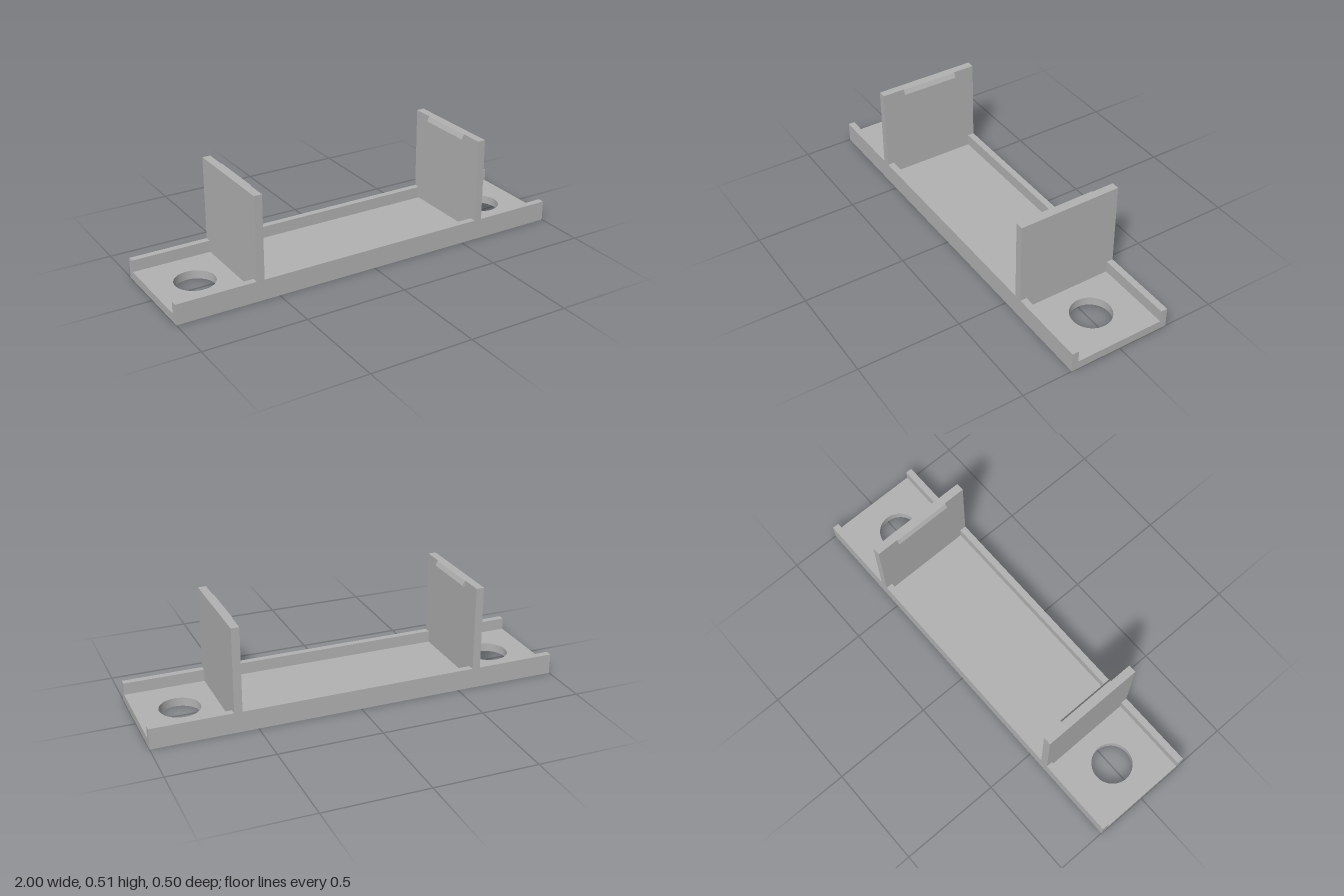
import * as THREE from 'three';

const HALF_DEPTH = 0.2525, INNER = 0.22, FLOOR = 0.042, RIM = 0.1, TOP = 0.51;

// Outline from a list of [x, y] corners
function outline(points) {
  return new THREE.Shape(points.map(([x, y]) => new THREE.Vector2(x, y)));
}

function extrude(shape, depth) {
  return new THREE.ExtrudeGeometry(shape, { depth, bevelEnabled: false, curveSegments: 32 });
}

export function createModel() {
  const group = new THREE.Group();
  const grey = new THREE.MeshStandardMaterial({ color: 0xb2b2b2 });
  grey.name = 'grey';

  const add = (name, geometry) => {
    const mesh = new THREE.Mesh(geometry, grey);
    mesh.name = name;
    group.add(mesh);
    return mesh;
  };

  // Floor plate with a screw hole near each end
  const plate = outline([[-1, -HALF_DEPTH], [1, -HALF_DEPTH], [1, HALF_DEPTH], [-1, HALF_DEPTH]]);
  for (const side of [-1, 1]) {
    const hole = new THREE.Path();
    hole.absarc(side * 0.793, 0, 0.097, 0, Math.PI * 2, true);
    plate.holes.push(hole);
  }
  add('floorPlate', extrude(plate, FLOOR).rotateX(-Math.PI / 2));

  // Rails along the front and back edges
  const railDepth = HALF_DEPTH - INNER;
  for (const [name, side] of [['frontRail', 1], ['backRail', -1]]) {
    const rail = add(name, new THREE.BoxGeometry(2, RIM - FLOOR, railDepth));
    rail.position.set(0, (RIM + FLOOR) / 2, side * (INNER + railDepth / 2));
  }

  // Upright walls, notched at the bottom to sit between the rails
  const wall = outline([
    [-INNER, FLOOR], [INNER, FLOOR], [INNER, RIM], [HALF_DEPTH, RIM],
    [HALF_DEPTH, TOP], [-HALF_DEPTH, TOP], [-HALF_DEPTH, RIM], [-INNER, RIM],
  ]);
  // Snap lug with a sloped top and a flat underside
  const lug = outline([[0, 0.48], [0.015, 0.48], [0.015, 0.487], [0.004, TOP], [0, TOP]]);

  for (const [name, side] of [['left', 1], ['right', -1]]) {
    const upright = add(name + 'Wall', extrude(wall, 0.039).translate(0, 0, -0.0195));
    upright.rotation.y = Math.PI / 2;
    upright.position.x = side * 0.5925;

    const catchLug = add(name + 'SnapLug', extrude(lug, 0.286).translate(0, 0, -0.143));
    catchLug.rotation.y = side > 0 ? Math.PI : 0;
    catchLug.position.x = side * 0.573;
  }

  return group;
}
